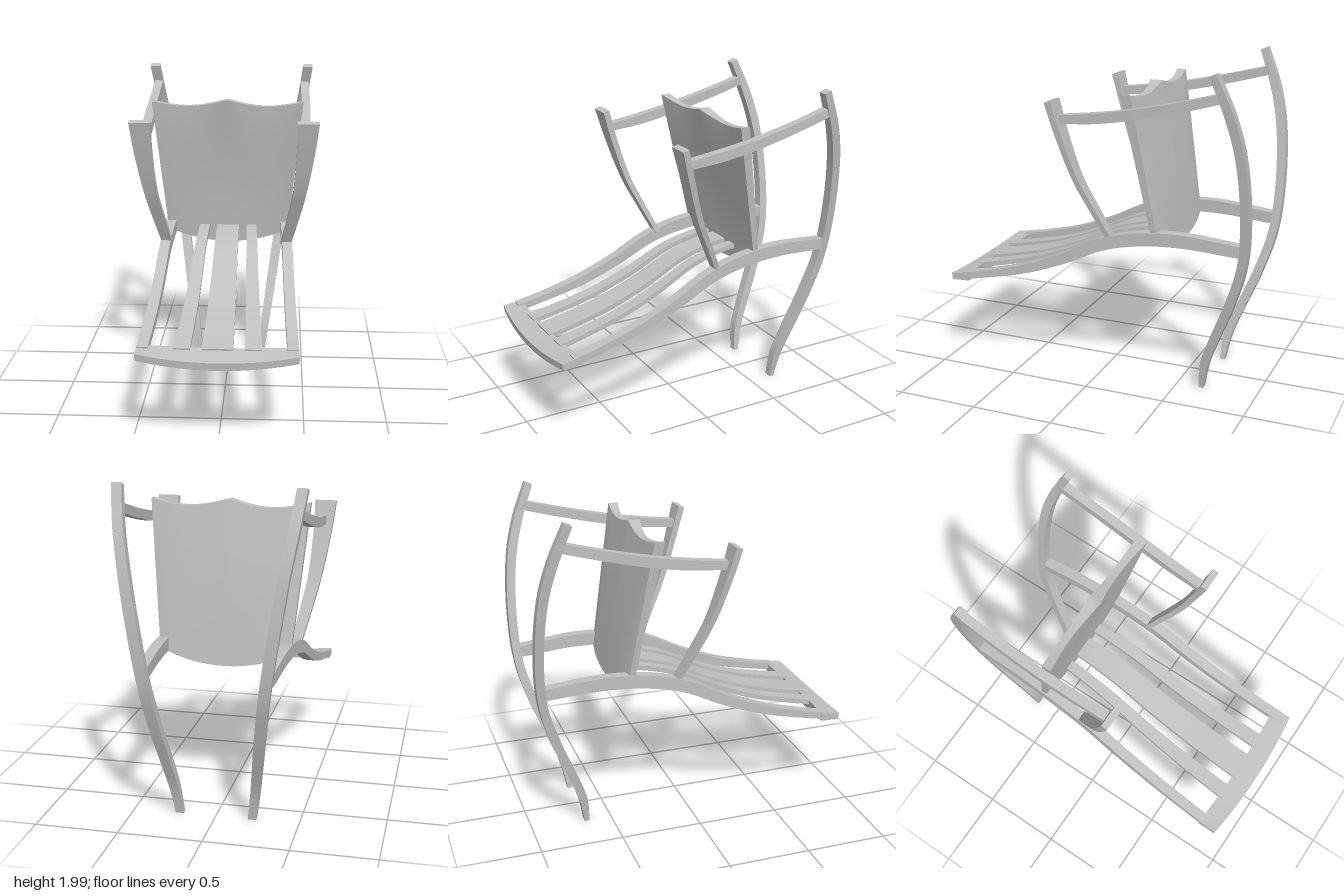
import * as THREE from 'three';
import { toCreasedNormals } from 'three/addons/utils/BufferGeometryUtils.js';

const { lerp } = THREE.MathUtils;

// Skin a list of equal-length rings (counter-clockwise about the sweep direction) and cap both ends
function loft(rings, crease = 0.6) {
  const n = rings[0].length, last = (rings.length - 1) * n, index = [];
  for (let i = 0; i < rings.length - 1; i++) {
    for (let j = 0; j < n; j++) {
      const a = i * n + j, b = i * n + (j + 1) % n;
      index.push(a, b, b + n, a, b + n, a + n);
    }
  }
  for (let j = 0; j < n / 2 - 1; j++) {
    const k = n - 1 - j;
    index.push(last + j, last + j + 1, last + k - 1, last + j, last + k - 1, last + k);
    index.push(j, k - 1, j + 1, j, k, k - 1);
  }
  const geo = new THREE.BufferGeometry();
  geo.setAttribute('position', new THREE.Float32BufferAttribute(rings.flat(2), 3));
  geo.setIndex(index);
  return toCreasedNormals(geo, crease);
}

// Bent timber: points are [x, y, z, width, thickness]; side mirrors x
function timber(points, side = 1, steps = 30) {
  const curve = new THREE.CatmullRomCurve3(points.map(p => new THREE.Vector3(side * p[0], p[1], p[2])));
  const rings = [];
  for (let i = 0; i <= steps; i++) {
    const t = i / steps, f = t * (points.length - 1);
    const k = Math.min(Math.floor(f), points.length - 2);
    const hw = lerp(points[k][3], points[k + 1][3], f - k) / 2;
    const ht = lerp(points[k][4], points[k + 1][4], f - k) / 2;
    const c = curve.getPoint(t), d = curve.getTangent(t);
    const len = Math.hypot(d.y, d.z);
    const ny = d.z / len * ht, nz = -d.y / len * ht;
    rings.push([
      [c.x + hw, c.y + ny, c.z + nz], [c.x - hw, c.y + ny, c.z + nz],
      [c.x - hw, c.y - ny, c.z - nz], [c.x + hw, c.y - ny, c.z - nz],
    ]);
  }
  return loft(rings);
}

// Side profile shared by rails and slats: [z, y, thickness]
const sweep = [
  [-0.91, 0.96, 0.07], [-0.55, 0.985, 0.08], [-0.287, 0.965, 0.08], [-0.07, 0.91, 0.075],
  [0.19, 0.785, 0.065], [0.456, 0.685, 0.055], [0.72, 0.62, 0.045], [0.86, 0.592, 0.045],
];

const longLeg = [
  [0.22, 0.01, -0.655, 0.05, 0.03], [0.243, 0.18, -0.68, 0.055, 0.05], [0.268, 0.36, -0.745, 0.06, 0.055],
  [0.302, 0.6, -0.84, 0.065, 0.055], [0.34, 0.87, -0.92, 0.065, 0.052], [0.39, 1.2, -0.942, 0.065, 0.052],
  [0.445, 1.55, -0.915, 0.062, 0.055], [0.482, 1.77, -0.86, 0.06, 0.055], [0.512, 1.988, -0.775, 0.06, 0.045],
];

const armSupport = [
  [0.378, 0.945, -0.118, 0.065, 0.03], [0.42, 1.13, -0.028, 0.072, 0.033], [0.458, 1.32, 0.06, 0.08, 0.035],
  [0.49, 1.6, 0.15, 0.11, 0.038], [0.5, 1.775, 0.198, 0.13, 0.04],
];

const armrest = [
  [0.482, 1.665, 0.16, 0.055, 0.05], [0.488, 1.69, -0.07, 0.058, 0.06], [0.494, 1.728, -0.29, 0.058, 0.06],
  [0.494, 1.8, -0.6, 0.055, 0.056], [0.49, 1.86, -0.82, 0.055, 0.054],
];

function slat(x0, x1, w0, w1) {
  const path = [[-0.4, 0.975], ...sweep.slice(2)];
  return path.map(([z, y]) => {
    const t = (z + 0.25) / 1.08;
    return [lerp(x0, x1, t), y + 0.004, z, lerp(w0, w1, t), 0.03];
  });
}

// Bowed cross rail joining the ends of the rails and slats
function crossRail() {
  const rings = [];
  for (let i = 0; i <= 20; i++) {
    const u = i / 10 - 1, bow = 1 - u * u, x = 0.46 * u;
    const zb = 0.82 + 0.018 * bow, zf = 0.94 + 0.03 * bow;
    rings.push([
      [x, 0.613 - 0.006 * bow, zb], [x, 0.602 - 0.034 * bow, zf],
      [x, 0.56 - 0.038 * bow, zf - 0.005], [x, 0.565 - 0.022 * bow, zb],
    ]);
  }
  return loft(rings);
}

// Upholstered panel: scalloped top, rounded bottom, dished front, gently rounded back
function cushion() {
  const cols = 32, rows = 20, rings = [];
  const point = (u, v, front) => {
    const scallop = Math.sin(Math.PI * Math.abs(u));
    const y = lerp(0.875 + 0.085 * u * u, 1.84 - 0.04 * scallop - 0.01 * u * u, v);
    const x = u * lerp(0.395, 0.475, v);
    const dish = 0.03 * scallop * v ** 4 + 0.02 * Math.sin(Math.PI * v) * (1 - u * u);
    const z = front
      ? lerp(-0.385, -0.215, v) - dish
      : lerp(-0.45, -0.29, v) + 0.03 * u ** 4 * (1 - 0.5 * v) - 0.012 * Math.sin(Math.PI * v) * (1 - u * u);
    return [x, y, z];
  };
  for (let i = 0; i <= rows; i++) {
    const ring = [];
    for (let j = 0; j <= cols; j++) ring.push(point(1 - 2 * j / cols, i / rows, false));
    for (let j = 0; j <= cols; j++) ring.push(point(2 * j / cols - 1, i / rows, true));
    rings.push(ring);
  }
  return loft(rings, 0.8);
}

export function createModel() {
  const group = new THREE.Group();
  const grey = new THREE.MeshStandardMaterial({ color: 0xc0c0c0 });
  grey.name = 'plain grey';
  const add = (name, geometry) => {
    const mesh = new THREE.Mesh(geometry, grey);
    mesh.name = name;
    group.add(mesh);
  };

  const rail = sweep.map(([z, y, t]) => [lerp(0.355, 0.425, (z + 0.9) / 1.73), y, z, 0.065, t]);

  // Mirrored timber frame
  for (const [side, label] of [[1, 'left'], [-1, 'right']]) {
    add(label + 'LongLeg', timber(longLeg, side, 40));
    add(label + 'SideRail', timber(rail, side, 40));
    add(label + 'ArmSupport', timber(armSupport, side));
    add(label + 'Armrest', timber(armrest, side));
    add(label + 'Slat', timber(slat(0.157, 0.202, 0.066, 0.094), side));
  }
  add('centreSlat', timber(slat(0, 0, 0.144, 0.176)));
  add('crossRail', crossRail());
  add('cushion', cushion());
  return group;
}
